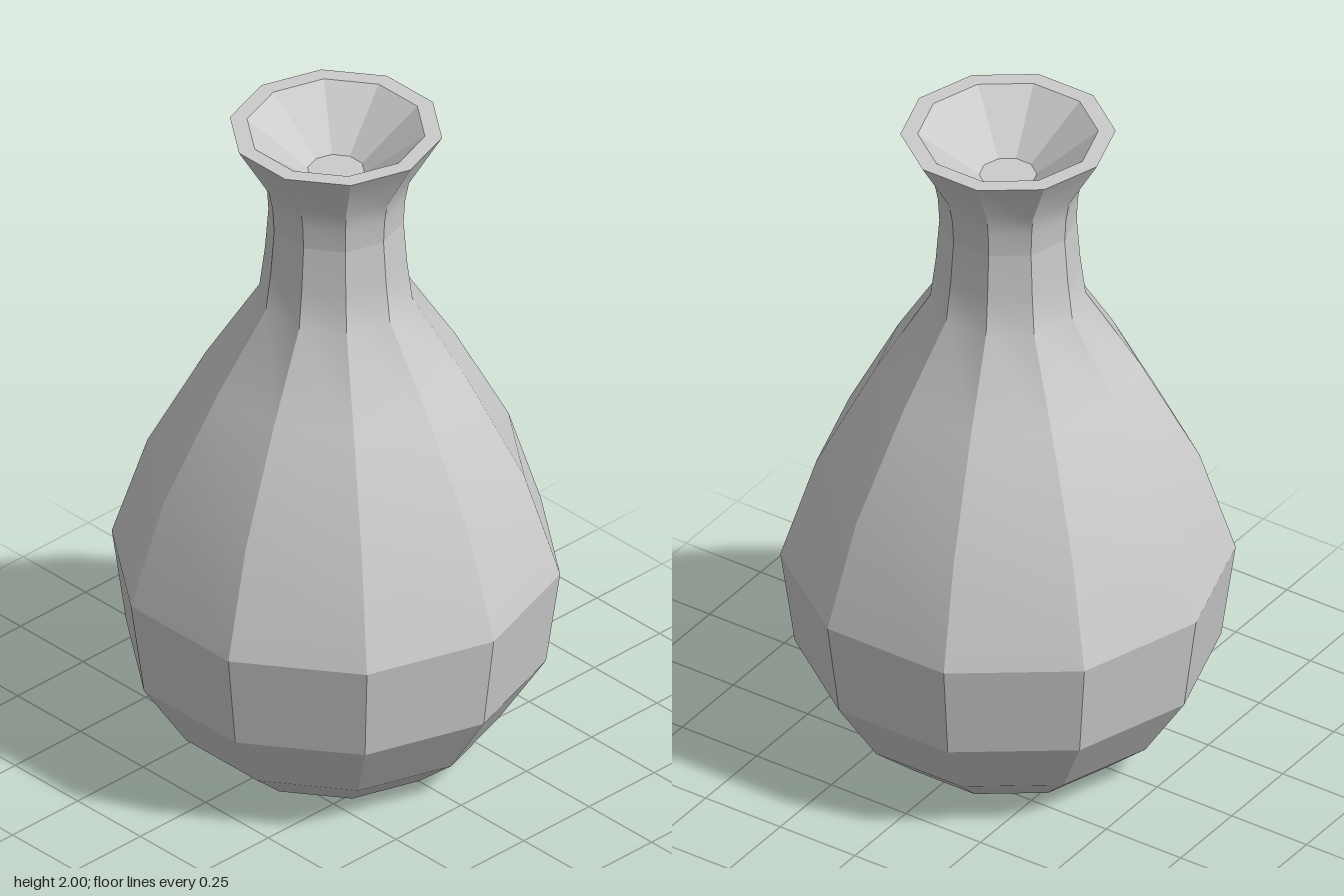
import * as THREE from 'three';
import { toCreasedNormals } from 'three/addons/utils/BufferGeometryUtils.js';

const SIDES = 10;

export function createModel() {
  const vase = new THREE.Group();
  vase.name = 'vase';
  const material = new THREE.MeshStandardMaterial({ color: 0xcccccc });

  // Ten-sided turned section; profile is [radius, height], outside running upwards
  function addSection(name, profile, creaseDegrees) {
    const points = profile.map(([r, y]) => new THREE.Vector2(r, y));
    const lathe = new THREE.LatheGeometry(points, SIDES, Math.PI / 2);
    const geometry = toCreasedNormals(lathe, THREE.MathUtils.degToRad(creaseDegrees));
    const mesh = new THREE.Mesh(geometry, material);
    mesh.name = name;
    vase.add(mesh);
  }

  // Flat underside and faceted bowl up to the widest ring
  addSection('base', [[0, 0], [0.33, 0], [0.46, 0.11], [0.59, 0.31], [0.63, 0.6]], 15);

  // Shoulder tapering smoothly into the narrow neck
  addSection('body', [
    [0.63, 0.6], [0.53, 0.91], [0.365, 1.22], [0.215, 1.46], [0.2, 1.58], [0.19, 1.71],
  ], 28);

  // Flared lip
  addSection('lip', [[0.19, 1.71], [0.194, 1.78], [0.205, 1.84], [0.298, 2]], 28);

  // Flat rim and the shallow funnel with its small floor
  addSection('mouth', [[0.298, 2], [0.25, 2], [0.08, 1.86], [0, 1.86]], 15);

  return vase;
}
